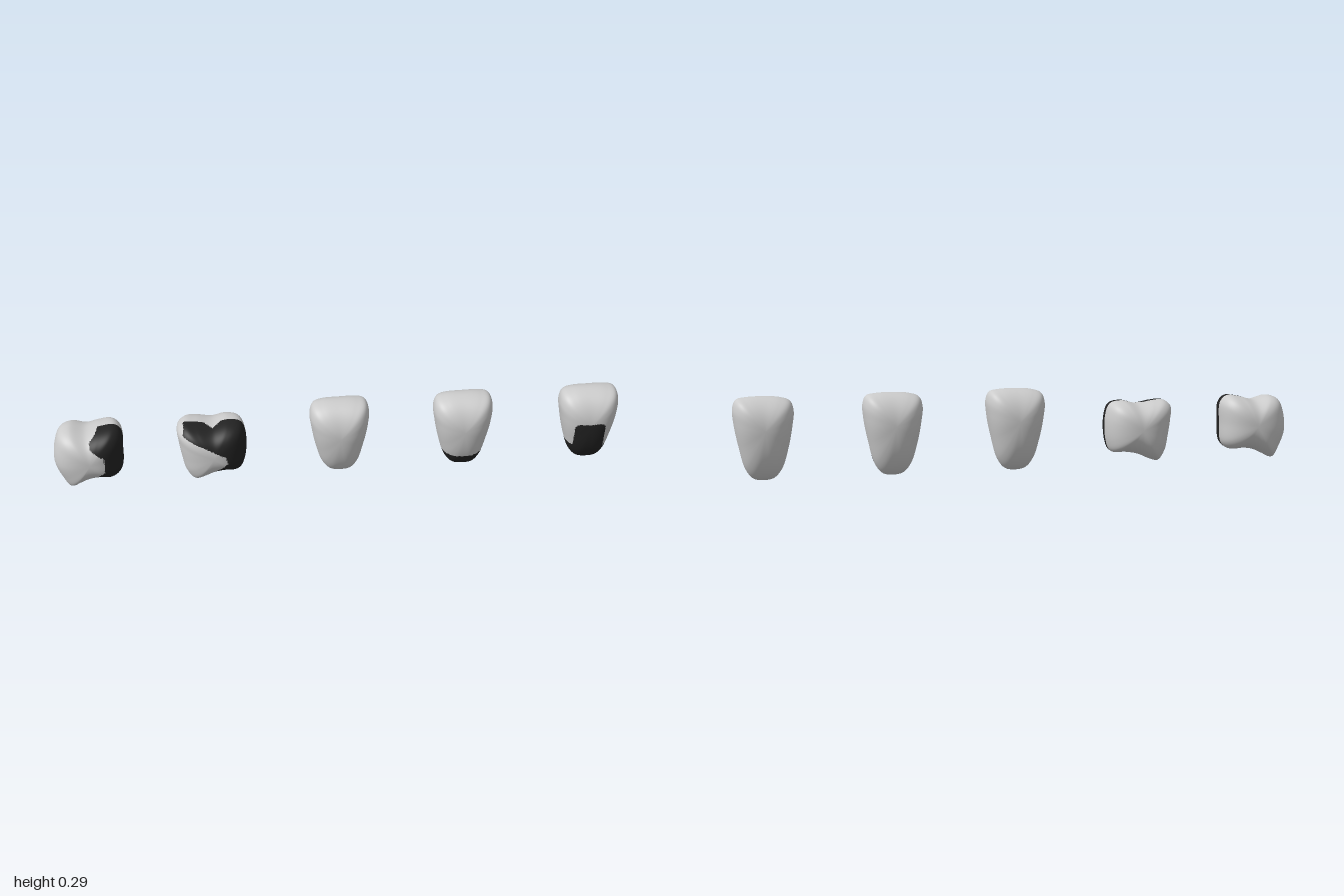
import * as THREE from 'three';

const SEG = 160;  // points around the outline
const RINGS = 64; // rings from back to front

// Front outlines, counter-clockwise
const incisor = [
  [0.005, 0], [0.038, 0.007], [0.064, 0.04], [0.086, 0.12], [0.101, 0.2], [0.104, 0.25], [0.092, 0.28],
  [0.06, 0.288], [0, 0.29], [-0.06, 0.285], [-0.093, 0.272], [-0.104, 0.24], [-0.099, 0.19], [-0.084, 0.11],
  [-0.062, 0.04], [-0.034, 0.007],
];
const outerMolar = [
  [-0.95, 0.01], [-0.92, 0.022], [-0.88, 0.04], [-0.84, 0.047], [-0.785, 0.047], [-0.761, 0.07],
  [-0.755, 0.14], [-0.757, 0.215], [-0.78, 0.239], [-0.83, 0.234], [-0.88, 0.222], [-0.94, 0.235],
  [-0.972, 0.222], [-0.99, 0.18], [-0.996, 0.11], [-0.975, 0.05],
];
const innerMolar = [
  [-0.515, 0.015], [-0.49, 0.02], [-0.44, 0.041], [-0.39, 0.05], [-0.345, 0.053], [-0.328, 0.09],
  [-0.325, 0.18], [-0.342, 0.224], [-0.385, 0.234], [-0.44, 0.222], [-0.5, 0.231], [-0.54, 0.232],
  [-0.563, 0.212], [-0.561, 0.165], [-0.553, 0.11], [-0.54, 0.05],
];

// Inflates an outline around a centre into a rounded closed crown
function crownGeometry(points, offset, [cx, cy], depth, power, sidePower) {
  const curve = new THREE.CatmullRomCurve3(
    points.map(([x, y]) => new THREE.Vector3(x + offset, y, 0)), true, 'centripetal');
  const rim = curve.getSpacedPoints(SEG).slice(0, SEG);
  const positions = [cx, cy, -depth];
  for (let i = 1; i < RINGS; i++) {
    const phi = -Math.PI / 2 + Math.PI * i / RINGS;
    for (const p of rim) {
      const dx = p.x - cx, dy = p.y - cy;
      const n = power + (sidePower - power) * dx * dx / (dx * dx + dy * dy);
      const r = Math.pow(Math.cos(phi), 2 / n);
      const z = Math.sign(phi) * Math.pow(Math.abs(Math.sin(phi)), 2 / n);
      positions.push(cx + dx * r, cy + dy * r, depth * z);
    }
  }
  const front = positions.length / 3;
  positions.push(cx, cy, depth);

  const index = [];
  const at = (i, j) => 1 + (i - 1) * SEG + j % SEG;
  for (let j = 0; j < SEG; j++) {
    index.push(0, at(1, j + 1), at(1, j));
    index.push(front, at(RINGS - 1, j), at(RINGS - 1, j + 1));
    for (let i = 1; i < RINGS - 1; i++) {
      const a = at(i, j), b = at(i, j + 1), c = at(i + 1, j + 1), d = at(i + 1, j);
      index.push(a, b, c, a, c, d);
    }
  }
  const geometry = new THREE.BufferGeometry();
  geometry.setAttribute('position', new THREE.Float32BufferAttribute(positions, 3));
  geometry.setIndex(index);
  geometry.computeVertexNormals();
  return geometry;
}

// Splits a crown into enamel and a dark patch on its front half
function makeTooth(name, geometry, isDark) {
  const group = new THREE.Group();
  group.name = name;
  const pos = geometry.attributes.position, idx = geometry.index.array;
  const parts = { enamel: [], darkPatch: [] };
  for (let t = 0; t < idx.length; t += 3) {
    const tri = [idx[t], idx[t + 1], idx[t + 2]];
    const mean = (get) => tri.reduce((s, v) => s + pos[get](v), 0) / 3;
    const z = mean('getZ');
    const dark = isDark && z > 0 && isDark(mean('getX'), mean('getY'), z);
    parts[dark ? 'darkPatch' : 'enamel'].push(...tri);
  }
  for (const [part, list] of Object.entries(parts)) {
    if (!list.length) continue;
    const g = geometry.clone();
    g.setIndex(list);
    const material = new THREE.MeshStandardMaterial({ color: part === 'enamel' ? 0xcccccc : 0x222222 });
    const mesh = new THREE.Mesh(g, material);
    mesh.name = part;
    group.add(mesh);
  }
  return group;
}

// Straight-line border: x of the patch's left edge at height y
function borderX(border, y) {
  for (let i = 1; i < border.length; i++) {
    const [x0, y0] = border[i - 1], [x1, y1] = border[i];
    if (y <= y1) return x0 + (x1 - x0) * Math.max(0, (y - y0) / (y1 - y0));
  }
  return border[border.length - 1][0];
}

export function createModel() {
  const model = new THREE.Group();
  model.name = 'toothRow';

  // Three incisors: clean, dark tip, dark front
  const tips = [
    ['cleanIncisor', 0.005, null],
    ['tipWornIncisor', 0.442, (x, y) => y < 0.066 + 0.8 * (x - 0.442) ** 2],
    ['frontWornIncisor', 0.89, (x, y) =>
      y < 0.083 - (x < 0.89 ? 0 : 0.01) ||
      (Math.abs(x - 0.888) < 0.054 && y < 0.187 - 40 * Math.max(0, Math.abs(x - 0.888) - 0.035) ** 2)],
  ];
  for (const [name, x, dark] of tips) {
    model.add(makeTooth(name, crownGeometry(incisor, x, [x, 0.18], 0.088, 2, 2.5), dark));
  }

  // Two molars with a dark inner side
  const outerBorder = [[-0.84, 0.04], [-0.845, 0.075], [-0.82, 0.1], [-0.82, 0.16], [-0.865, 0.192], [-0.868, 0.21], [-0.83, 0.24]];
  model.add(makeTooth('outerMolar', crownGeometry(outerMolar, 0, [-0.87, 0.135], 0.102, 2.4, 2.4),
    (x, y) => x > borderX(outerBorder, y)));

  const innerBorder = [[-0.41, 0.04], [-0.435, 0.068], [-0.392, 0.11], [-0.4, 0.14], [-0.47, 0.18], [-0.545, 0.212], [-0.54, 0.24]];
  model.add(makeTooth('innerMolar', crownGeometry(innerMolar, 0, [-0.44, 0.135], 0.102, 2.4, 2.4),
    (x, y, z) => x > borderX(innerBorder, y) && !(y > 0.19 && z < 0.03 - Math.abs(x + 0.44))));
  return model;
}
